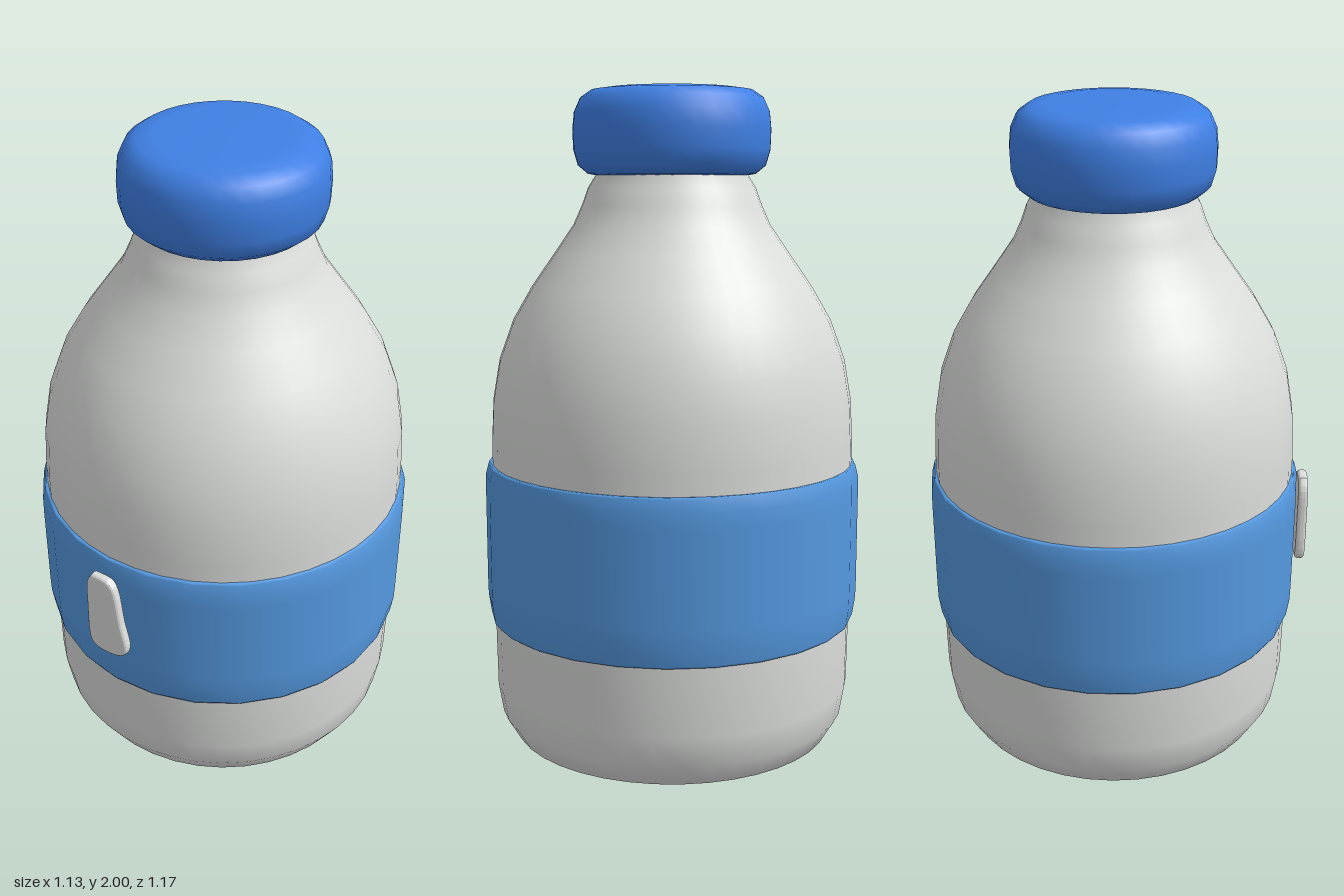
import * as THREE from 'three';

const white = new THREE.MeshStandardMaterial({ color: 0xdcdedc });
white.name = 'milk white';
const bandBlue = new THREE.MeshStandardMaterial({ color: 0x5599e0 });
bandBlue.name = 'band blue';
const capBlue = new THREE.MeshStandardMaterial({ color: 0x3f80e5 });
capBlue.name = 'cap blue';

// Turned part from [radius, height] pairs, listed bottom to top
function turned(name, profile, segments, material) {
  const points = profile.map(([r, y]) => new THREE.Vector2(r, y));
  const mesh = new THREE.Mesh(new THREE.LatheGeometry(points, segments), material);
  mesh.name = name;
  mesh.position.z = -0.018;
  return mesh;
}

export function createModel() {
  const model = new THREE.Group();
  model.name = 'bottle';

  // Body with rounded foot, sloping shoulder and short neck
  model.add(turned('body', [
    [0, 0.005], [0.36, 0.006], [0.42, 0.012], [0.49, 0.04], [0.532, 0.11], [0.547, 0.2],
    [0.55, 0.4], [0.55, 0.95], [0.543, 1.08], [0.522, 1.2], [0.478, 1.32],
    [0.42, 1.42], [0.35, 1.52], [0.295, 1.6], [0.268, 1.66], [0.25, 1.71],
    [0.228, 1.745], [0.22, 1.8],
  ], 40, white));

  // Band wrapped round the middle
  model.add(turned('labelBand', [
    [0.54, 0.408], [0.559, 0.408], [0.562, 0.415], [0.57, 0.47], [0.571, 0.52],
    [0.571, 0.8], [0.57, 0.85], [0.561, 0.884], [0.558, 0.89], [0.54, 0.89],
  ], 26, bandBlue));

  // Soft rounded cap
  model.add(turned('cap', [
    [0, 1.742], [0.2, 1.742], [0.25, 1.75], [0.28, 1.775], [0.293, 1.82], [0.295, 1.88],
    [0.29, 1.93], [0.272, 1.97], [0.24, 1.992], [0.19, 1.999], [0, 2],
  ], 32, capBlue));

  // Raised mark on the front of the band, wider at its foot
  const outline = new THREE.Shape(new THREE.SplineCurve([
    [-0.025, 0.835], [0.025, 0.835], [0.046, 0.80], [0.06, 0.70], [0.078, 0.62],
    [0.065, 0.583], [0.02, 0.568], [-0.03, 0.572], [-0.046, 0.61], [-0.045, 0.72],
    [-0.042, 0.80], [-0.025, 0.835],
  ].map(([x, y]) => new THREE.Vector2(x, y))).getPoints(36));
  const mark = new THREE.Mesh(new THREE.ExtrudeGeometry(outline, {
    depth: 0.01, bevelThickness: 0.01, bevelSize: 0.011, bevelSegments: 3,
  }), white);
  mark.name = 'frontMark';
  mark.position.z = 0.566;
  model.add(mark);

  return model;
}
